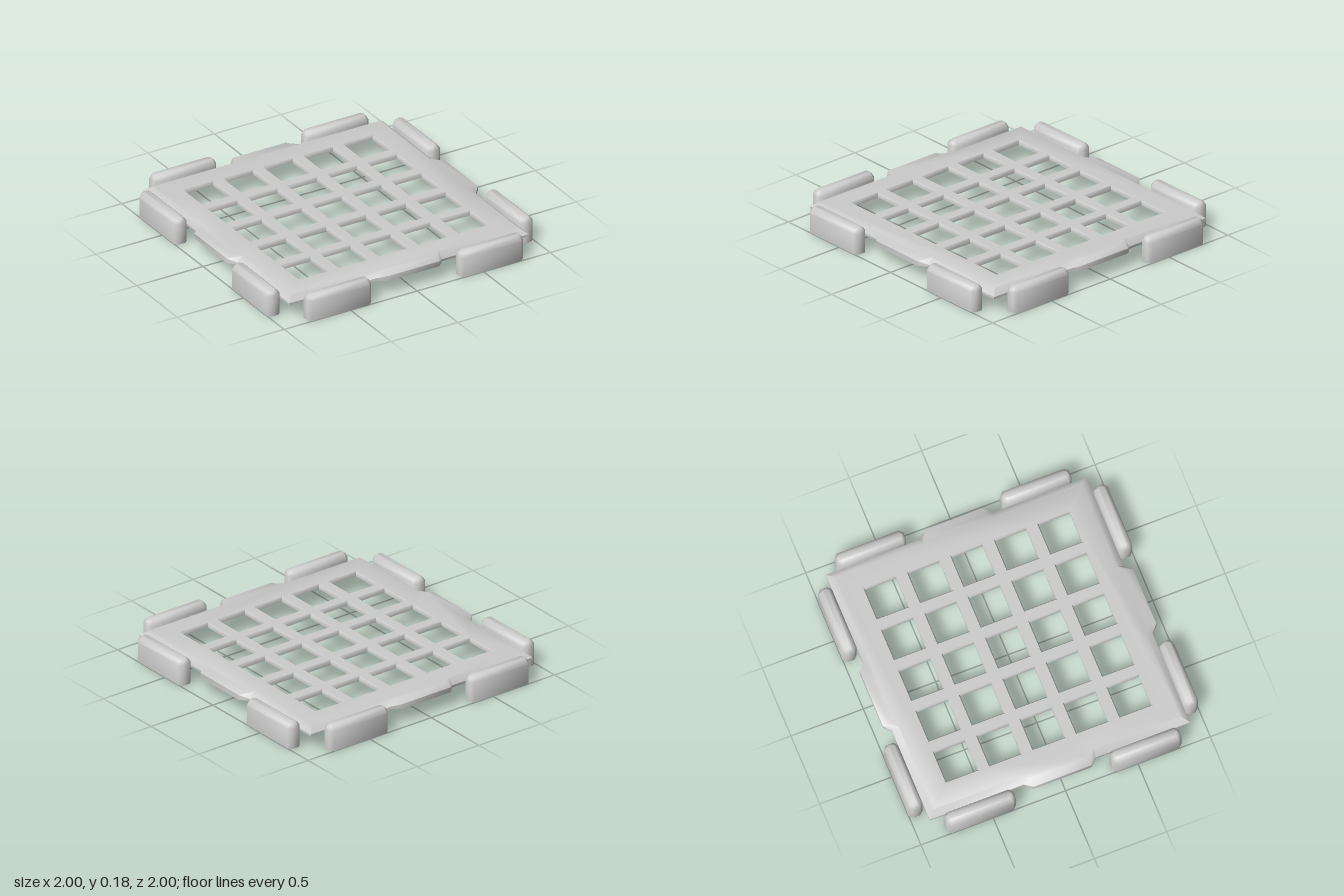
import * as THREE from 'three';
import { mergeGeometries, toCreasedNormals } from 'three/addons/utils/BufferGeometryUtils.js';

const material = new THREE.MeshStandardMaterial({ color: 0xcccccc, side: THREE.DoubleSide });

// Walls through stacked rings of points (z is height): counter-clockwise rings face outward
function walls(rings) {
  const pos = [], n = rings[0].length;
  for (let k = 0; k < rings.length - 1; k++) {
    const lo = rings[k], hi = rings[k + 1];
    for (let i = 0; i < n; i++) {
      const j = (i + 1) % n;
      for (const p of [lo[i], lo[j], hi[j], lo[i], hi[j], hi[i]]) pos.push(p.x, p.y, p.z);
    }
  }
  const g = new THREE.BufferGeometry();
  g.setAttribute('position', new THREE.Float32BufferAttribute(pos, 3));
  return g;
}

// Flat cap on a ring with optional holes, facing up or down
function cap(ring, up, holes = []) {
  const flat = r => r.map(p => new THREE.Vector2(p.x, p.y));
  const shape = new THREE.Shape(flat(ring));
  shape.holes = holes.map(h => new THREE.Path(flat(h)));
  const g = new THREE.ShapeGeometry(shape).toNonIndexed();
  g.deleteAttribute('uv');
  g.deleteAttribute('normal');
  if (!up) {
    const p = g.attributes.position;
    for (let i = 0; i < p.count; i += 3) {
      const x = p.getX(i), y = p.getY(i);
      p.setXY(i, p.getX(i + 1), p.getY(i + 1));
      p.setXY(i + 1, x, y);
    }
  }
  return g.translate(0, 0, ring[0].z);
}

function solid(parts, crease) {
  return toCreasedNormals(mergeGeometries(parts).rotateX(-Math.PI / 2), crease);
}

// Square ring with one tab per side: edge and tab reach, edge height and tab height
function plateRing(edge, tab, z, tabZ = z) {
  const side = [[edge, -edge, z], [edge, -0.25, z], [tab, -0.2, tabZ], [tab, 0.2, tabZ], [edge, 0.25, z]];
  const axis = new THREE.Vector3(0, 0, 1), ring = [];
  for (let k = 0; k < 4; k++) {
    for (const p of side) ring.push(new THREE.Vector3(...p).applyAxisAngle(axis, k * Math.PI / 2));
  }
  return ring;
}

// Clockwise square, so its walls face into the opening
function holeRing(cx, cy, h, z) {
  return [[-h, -h], [-h, h], [h, h], [h, -h]].map(([x, y]) => new THREE.Vector3(cx + x, cy + y, z));
}

function plateGeometry() {
  const under = 0.12, top = 0.152;
  const underRing = plateRing(0.85, 0.89, under), topRing = plateRing(0.855, 0.89, top);
  // Rim: hangs below the underside, sloped at the edges and shallower on the tabs
  const parts = [walls([underRing, plateRing(0.9, 0.945, 0.1), plateRing(0.9, 0.945, 0.116, 0.135), topRing])];
  const lower = [], upper = [];
  for (let i = -2; i <= 2; i++) {
    for (let j = -2; j <= 2; j++) {
      const rings = [[0.108, under], [0.108, 0.142], [0.115, top]].map(([h, z]) => holeRing(i * 0.3, j * 0.3, h, z));
      parts.push(walls(rings));
      lower.push(rings[0]);
      upper.push(rings[2]);
    }
  }
  parts.push(cap(underRing, false, lower), cap(topRing, true, upper));
  return solid(parts, 0.8);
}

// Pad footprint: a bar with cut corners, inset by d
function padRing(d, z) {
  const l = 0.2375 - d * 0.8, w = 0.048 - d, c = 0.024 - d * 0.4;
  return [[l - c, -w], [l, -w + c], [l, w - c], [l - c, w], [-l + c, w], [-l, w - c], [-l, -w + c], [-l + c, -w]]
    .map(([x, y]) => new THREE.Vector3(x, y, z));
}

// Hollow pad, open underneath
function padGeometry() {
  const rings = [[0, 0], [0, 0.142], [0.012, 0.164], [0.028, 0.178]].map(r => padRing(...r));
  return solid([walls(rings), cap(rings[3], true)], 0.9);
}

export function createModel() {
  const model = new THREE.Group();
  model.name = 'gridTray';

  const plate = new THREE.Mesh(plateGeometry(), material);
  plate.name = 'gridPlate';
  model.add(plate);

  // Two upright edge pads on each side
  const pad = padGeometry();
  ['front', 'left', 'back', 'right'].forEach((name, k) => {
    const side = new THREE.Group();
    side.name = name + 'Pads';
    for (const s of [-1, 1]) {
      const mesh = new THREE.Mesh(pad, material);
      mesh.name = 'edgePad';
      mesh.position.set(s * 0.572, 0, 0.952);
      side.add(mesh);
    }
    side.rotation.y = k * Math.PI / 2;
    model.add(side);
  });
  return model;
}
